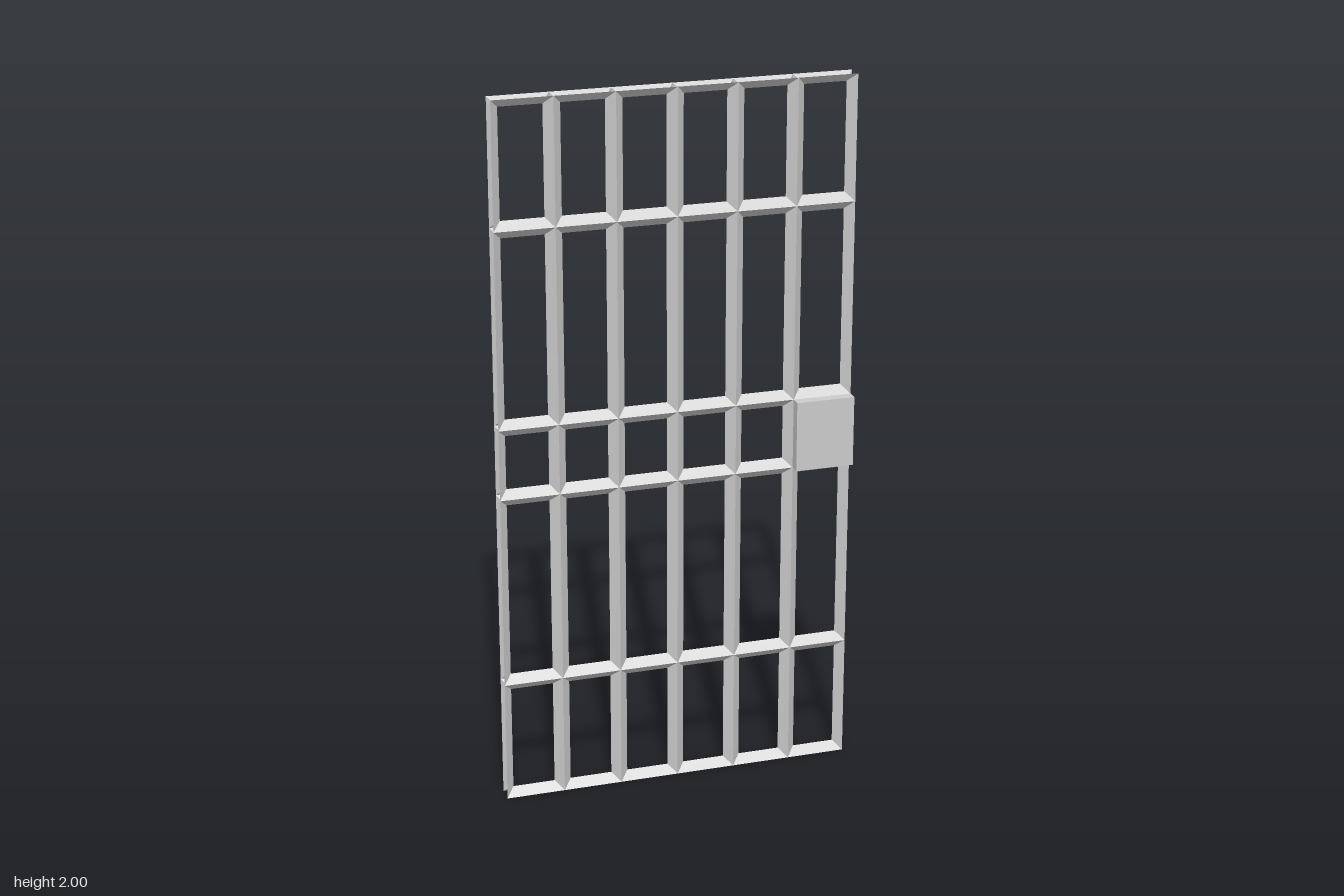
import * as THREE from 'three';

const HALF = 0.0236;               // half diagonal of the diamond bars
const BOX_DEPTH = 0.03;
const Z_FRONT = HALF - BOX_DEPTH / 2;
const Z_MID = Z_FRONT - HALF;
const Z_BACK = Z_MID - HALF;

// Bevelled lining of one opening: each side has a front and a back slope meeting in a ridge
function liningGeometry(x0, x1, y0, y1, skipSide) {
  const outer = [[x0, y0], [x1, y0], [x1, y1], [x0, y1]];
  const inner = [[x0 + HALF, y0 + HALF], [x1 - HALF, y0 + HALF], [x1 - HALF, y1 - HALF], [x0 + HALF, y1 - HALF]];
  const pos = [];
  const quad = (a, b, c, d) => pos.push(...a, ...b, ...c, ...a, ...c, ...d);
  for (let i = 0; i < 4; i++) {
    if (i === skipSide) continue;
    const j = (i + 1) % 4;
    const ridgeA = [...inner[i], Z_MID], ridgeB = [...inner[j], Z_MID];
    quad([...outer[i], Z_FRONT], [...outer[j], Z_FRONT], ridgeB, ridgeA);
    quad(ridgeA, ridgeB, [...outer[j], Z_BACK], [...outer[i], Z_BACK]);
  }
  const geometry = new THREE.BufferGeometry();
  geometry.setAttribute('position', new THREE.Float32BufferAttribute(pos, 3));
  geometry.computeVertexNormals();
  return geometry;
}

export function createModel() {
  const model = new THREE.Group();
  model.name = 'barredDoor';
  const material = new THREE.MeshStandardMaterial({ color: 0xcccccc, flatShading: true, side: THREE.DoubleSide });

  // Grid of bars, made of neighbouring openings; the lock opening has no outer side
  const rows = [0, 0.35, 0.9, 1.1, 1.65, 2];
  const columns = 6;
  const bars = new THREE.Group();
  bars.name = 'bars';
  for (let r = 0; r < rows.length - 1; r++) {
    for (let c = 0; c < columns; c++) {
      const isLock = r === 2 && c === columns - 1;
      const geometry = liningGeometry(c / columns - 0.5, (c + 1) / columns - 0.5, rows[r], rows[r + 1], isLock ? 1 : -1);
      const opening = new THREE.Mesh(geometry, material);
      opening.name = `barsRow${r + 1}Column${c + 1}`;
      bars.add(opening);
    }
  }
  model.add(bars);

  // Lock box on the front
  const lock = new THREE.Mesh(new THREE.BoxGeometry(1 / columns, 0.2, BOX_DEPTH), material);
  lock.name = 'lockBox';
  lock.position.set(0.5 - 0.5 / columns, 1, Z_FRONT + BOX_DEPTH / 2);
  model.add(lock);

  return model;
}
